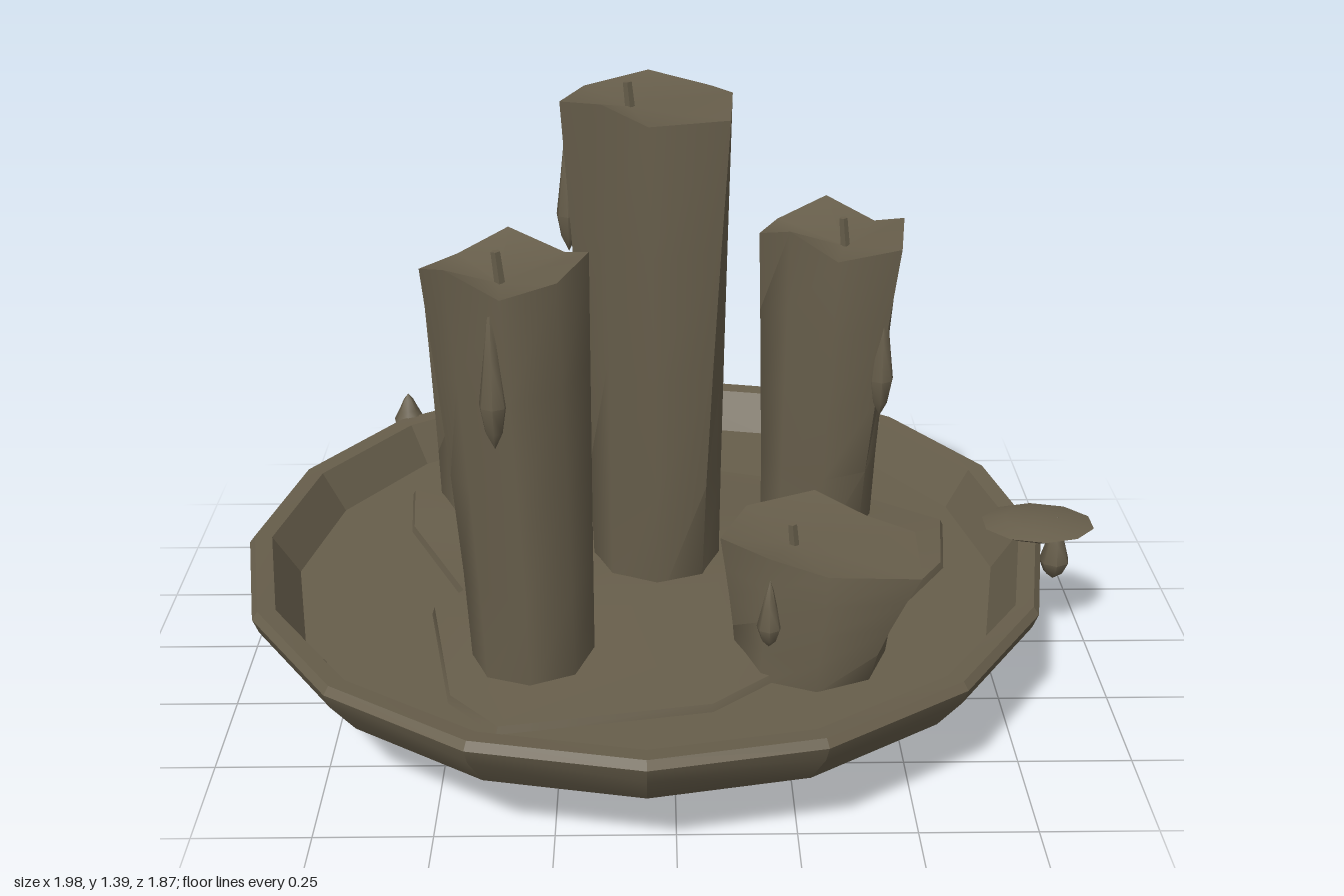
import * as THREE from 'three';
import { toCreasedNormals } from 'three/addons/utils/BufferGeometryUtils.js';

const wax = new THREE.MeshStandardMaterial({ color: 0x675e4b });
wax.name = 'dull olive wax';

const profile = (points) => points.map(([r, y]) => new THREE.Vector2(r, y));

function part(name, geometry, crease, parent) {
  const mesh = new THREE.Mesh(toCreasedNormals(geometry, crease), wax);
  mesh.name = name;
  parent.add(mesh);
  return mesh;
}

// Skin closed rings of [x, y, z] points, bottom to top, and cap with a centre point
function loft(rings, cap) {
  const n = rings[0].length;
  const last = (rings.length - 1) * n;
  const index = [];
  for (let a = 0; a < last; a++) {
    const b = a % n === n - 1 ? a + 1 - n : a + 1;
    index.push(a, a + n, b, b, a + n, b + n);
  }
  for (let i = 0; i < n; i++) index.push(last + n, last + (i + 1) % n, last + i);
  const g = new THREE.BufferGeometry();
  g.setAttribute('position', new THREE.Float32BufferAttribute([...rings.flat(2), ...cap], 3));
  g.setIndex(index);
  return g;
}

// Teardrop of wax: narrow at the top, fullest low down
function drip(name, x, y0, y1, z, radius, parent) {
  const shape = profile([[0, 0], [0.65, 0.12], [1, 0.3], [0.6, 0.6], [0.3, 0.85], [0, 1]]);
  const drop = part(name, new THREE.LatheGeometry(shape, 7).scale(radius, y1 - y0, radius), 0.9, parent);
  drop.position.set(x, y0, z);
}

// Candle with a round foot blending into a melted rim; rim radii run from +x towards +z
function candle(parent, name, [bx, bz, br], [tx, ty, tz], radii, wave, wick) {
  const group = new THREE.Group();
  group.name = name;
  const rings = [0, 0.25, 0.5, 0.75, 1].map((t) => radii.map((r, i) => {
    const a = i * Math.PI * 2 / radii.length;
    const k = t ** 1.3;
    const radius = THREE.MathUtils.lerp(br, r, k);
    return [
      THREE.MathUtils.lerp(bx, tx, k) + radius * Math.cos(a),
      THREE.MathUtils.lerp(0.2, ty + wave * Math.sin(i * 2.2 + 1), t),
      THREE.MathUtils.lerp(bz, tz, k) + radius * Math.sin(a),
    ];
  }));
  const [wx, wz] = wick;
  part(name + 'Body', loft(rings, [wx, ty - wave - 0.01, wz]), 0.9, group);

  const stem = part(name + 'Wick', new THREE.CylinderGeometry(0.01, 0.012, 0.1, 5), 0.5, group);
  stem.position.set(wx, ty - 0.02, wz);
  stem.rotation.z = 0.1;
  parent.add(group);
  return group;
}

export function createModel() {
  const model = new THREE.Group();
  model.name = 'candleDish';

  // Sixteen-sided dish with a raised rim
  const dish = profile([[0, 0.135], [0.65, 0.137], [0.86, 0.17], [0.92, 0.25], [0.933, 0.285],
    [0.92, 0.302], [0.88, 0.298], [0.82, 0.205], [0, 0.2]]);
  part('dish', new THREE.LatheGeometry(dish, 16), 0.3, model).position.x = -0.06;

  // Faceted feet, each standing on a point
  for (const [x, z] of [[-0.45, -0.36], [-0.18, 0.52], [0.45, -0.15]]) {
    const g = new THREE.IcosahedronGeometry(0.108).rotateZ(-Math.atan(2 / (1 + Math.sqrt(5))));
    part('foot', g, 0.1, model).position.set(x, 0.108, z);
  }

  // Pool of melted wax, rising gently towards the candles
  const outline = [[-0.66, -0.4], [-0.58, -0.58], [-0.34, -0.61], [-0.13, -0.54], [0.05, -0.53],
    [0.4, -0.42], [0.68, -0.22], [0.65, 0], [0.47, 0.27], [0.08, 0.61],
    [-0.37, 0.69], [-0.48, 0.57], [-0.55, 0.2], [-0.49, 0.12], [-0.64, -0.2]];
  const level = (s, y) => outline.map(([x, z]) => [-0.04 + (x + 0.04) * s, y, z * s]);
  part('waxPool', loft([level(1, 0.198), level(0.985, 0.22), level(0.75, 0.232), level(0.4, 0.26)],
    [-0.04, 0.27, 0]), 0.9, model);

  // Candles and the drips running down them
  const tall = candle(model, 'tallCandle', [-0.035, 0.02, 0.145], [-0.05, 1.355, 0.01],
    [0.18, 0.24, 0.18, 0.14, 0.19, 0.2, 0.19, 0.2], 0.015, [-0.09, -0.02]);
  drip('tallCandleDrip', -0.23, 0.98, 1.27, -0.08, 0.027, tall);
  drip('tallCandleDrip', 0.01, 0.98, 1.3, -0.165, 0.03, tall);

  const front = candle(model, 'frontCandle', [-0.305, 0.41, 0.132], [-0.34, 1.125, 0.4],
    [0.17, 0.155, 0.15, 0.155, 0.17, 0.145, 0.145, 0.165], 0.028, [-0.35, 0.41]);
  drip('frontCandleDrip', -0.36, 0.78, 1.1, 0.535, 0.03, front);

  const back = candle(model, 'backCandle', [-0.43, -0.37, 0.15], [-0.41, 0.78, -0.37],
    [0.17, 0.2, 0.19, 0.14, 0.19, 0.19, 0.2, 0.17], 0.025, [-0.4, -0.38]);
  drip('backCandleDrip', -0.5, 0.57, 0.72, -0.49, 0.022, back);
  drip('backCandleDrip', -0.45, 0.58, 0.74, -0.52, 0.022, back);
  drip('backCandleDrip', -0.25, 0.52, 0.72, -0.24, 0.02, back);

  const side = candle(model, 'sideCandle', [0.36, -0.24, 0.135], [0.38, 0.965, -0.27],
    [0.17, 0.21, 0.17, 0.15, 0.17, 0.17, 0.16, 0.16], 0.03, [0.41, -0.26]);
  drip('sideCandleDrip', 0.495, 0.54, 0.86, -0.14, 0.03, side);
  drip('sideCandleDrip', 0.3, 0.66, 0.82, -0.36, 0.02, side);

  const short = candle(model, 'shortCandle', [0.3, 0.37, 0.165], [0.32, 0.48, 0.35],
    [0.2, 0.27, 0.17, 0.17, 0.22, 0.22, 0.2, 0.15], 0.01, [0.26, 0.35]);
  drip('shortCandleDrip', 0.2, 0.29, 0.45, 0.49, 0.027, short);

  // Flat blob of wax on the rim with a drop hanging from it
  const blob = profile([[0, 0], [0.07, 0.003], [0.133, 0.03], [0.08, 0.042], [0, 0.045]]);
  const spill = part('rimSpill', new THREE.LatheGeometry(blob, 10).scale(1, 1, 0.76), 0.9, model);
  spill.position.set(0.863, 0.294, 0);
  drip('rimSpillDrip', 0.91, 0.175, 0.34, 0, 0.036, model);

  // Small bead on the back of the rim
  drip('rimBead', -0.695, 0.25, 0.36, -0.69, 0.042, model);
  return model;
}
